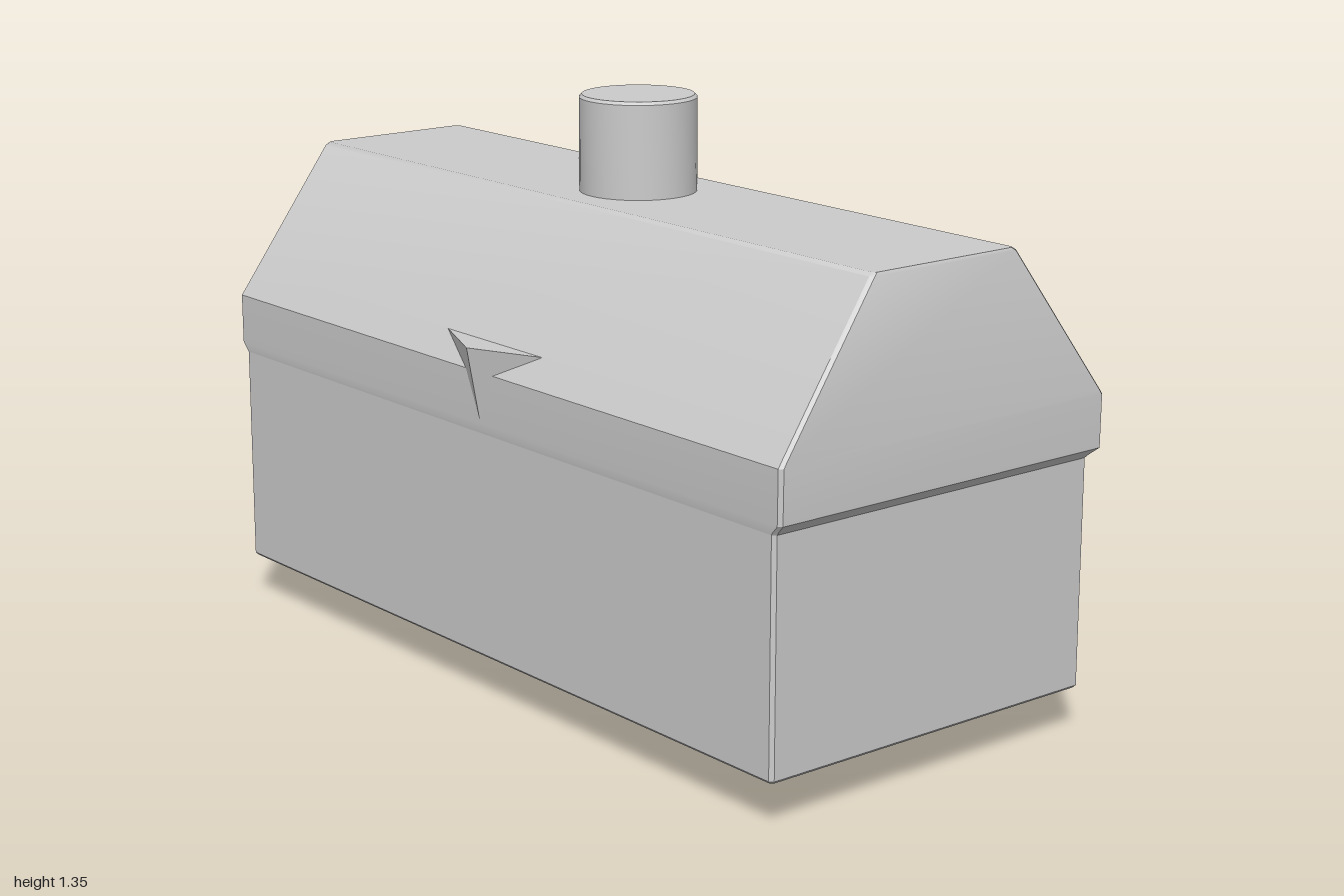
import * as THREE from 'three';
import { toCreasedNormals } from 'three/addons/utils/BufferGeometryUtils.js';

const material = new THREE.MeshStandardMaterial({ color: 0xcccccc });
const facetMaterial = new THREE.MeshStandardMaterial({ color: 0xcccccc, flatShading: true });

function addMesh(parent, name, geometry, mat = material) {
  const mesh = new THREE.Mesh(geometry, mat);
  mesh.name = name;
  parent.add(mesh);
  return mesh;
}

// Stack of chamfered rectangles, each [y, xMin, xMax, zHalf], bottom to top
function stackedBox(rings, c = 0.008) {
  const pos = [];
  const loops = rings.map(([y, a, b, z]) => [
    [a + c, y, z], [b - c, y, z], [b, y, z - c], [b, y, -z + c],
    [b - c, y, -z], [a + c, y, -z], [a, y, -z + c], [a, y, z - c],
  ]);
  const tri = (p, q, r) => pos.push(...p, ...q, ...r);
  for (let k = 0; k < loops.length - 1; k++) {
    const lo = loops[k], hi = loops[k + 1];
    for (let i = 0; i < 8; i++) {
      const j = (i + 1) % 8;
      tri(lo[i], lo[j], hi[j]);
      tri(lo[i], hi[j], hi[i]);
    }
  }
  const bottom = loops[0], top = loops[loops.length - 1];
  for (let i = 1; i < 7; i++) {
    tri(top[0], top[i], top[i + 1]);
    tri(bottom[0], bottom[i + 1], bottom[i]);
  }
  const g = new THREE.BufferGeometry();
  g.setAttribute('position', new THREE.Float32BufferAttribute(pos, 3));
  return toCreasedNormals(g, 0.5);
}

// Side fin: flat triangular top narrowing to one lower point
function fin(inner, outer, low, lowY, half, y = 0.83) {
  const A = [inner, y, half], B = [inner, y, -half], C = [outer, y, 0], D = [low, lowY, 0];
  let faces = [A, C, B, A, D, C, C, D, B, A, B, D];
  if (outer < inner) {
    faces = faces.flatMap((_, i) => (i % 3 ? [] : [[faces[i], faces[i + 2], faces[i + 1]]])).flat();
  }
  const g = new THREE.BufferGeometry();
  g.setAttribute('position', new THREE.Float32BufferAttribute(faces.flat(), 3));
  g.computeVertexNormals();
  return g;
}

// Shallow tapered disc facing +x, with the given height and width
function button(height, width, depth, sides) {
  const profile = [[0, 0], [0.5, 0], [0.5, depth * 0.55], [0.38, depth], [0, depth]]
    .map(([r, h]) => new THREE.Vector2(r, h));
  const g = new THREE.LatheGeometry(profile, sides, Math.PI / sides);
  g.rotateZ(-Math.PI / 2);
  g.scale(1, height, width);
  return toCreasedNormals(g, 0.6);
}

export function createModel() {
  const model = new THREE.Group();
  model.name = 'chest';

  // Lower box
  addMesh(model, 'body', stackedBox([
    [0.105, -0.465, 0.425, 0.975], [0.111, -0.47, 0.43, 0.98], [0.64, -0.47, 0.43, 0.98],
  ]));

  // Lid with overhanging rim and sloping sides
  addMesh(model, 'lid', stackedBox([
    [0.63, -0.47, 0.43, 0.98], [0.637, -0.471, 0.437, 0.985], [0.652, -0.472, 0.455, 0.999],
    [0.77, -0.472, 0.455, 1], [0.78, -0.465, 0.449, 0.999],
    [1.118, -0.225, 0.19, 0.986], [1.125, -0.215, 0.18, 0.982],
  ]));

  // Round stack on the roof
  const stackProfile = [[0, 1.1], [0.134, 1.1], [0.134, 1.338], [0.128, 1.345], [0, 1.345]]
    .map(([r, y]) => new THREE.Vector2(r, y));
  const stack = addMesh(model, 'stack', toCreasedNormals(new THREE.LatheGeometry(stackProfile, 40), 0.5));
  stack.position.x = -0.02;

  // Faceted bump behind the stack
  const bump = addMesh(model, 'stackBump', new THREE.SphereGeometry(1, 10, 4), facetMaterial);
  bump.scale.set(0.065, 0.048, 0.06);
  bump.position.set(-0.02, 1.182, -0.118);

  // Triangular side fins
  addMesh(model, 'leftFin', fin(0.41, 0.46, 0.456, 0.77, 0.125), facetMaterial);
  addMesh(model, 'rightFin', fin(-0.43, -0.505, -0.472, 0.66, 0.175), facetMaterial);

  // Pair of tilted latches on the left side
  for (const z of [-0.5, 0.5]) {
    const latch = new THREE.Group();
    latch.name = 'latch';
    addMesh(latch, 'latchPlate', button(0.165, 0.138, 0.028, 8));
    addMesh(latch, 'latchKnob', button(0.095, 0.082, 0.026, 12)).position.x = 0.018;
    latch.position.set(0.444, 0.644, z);
    latch.rotation.z = -0.19;
    model.add(latch);
  }

  // Foot and its thin mounting disc under the box
  addMesh(model, 'foot', stackedBox([
    [0, -0.092, 0.052, 0.069], [0.008, -0.1, 0.06, 0.076], [0.12, -0.1, 0.06, 0.076],
  ]));
  addMesh(model, 'footDisc', new THREE.CylinderGeometry(0.3, 0.3, 0.01, 40)).position.set(-0.02, 0.109, 0);

  return model;
}
